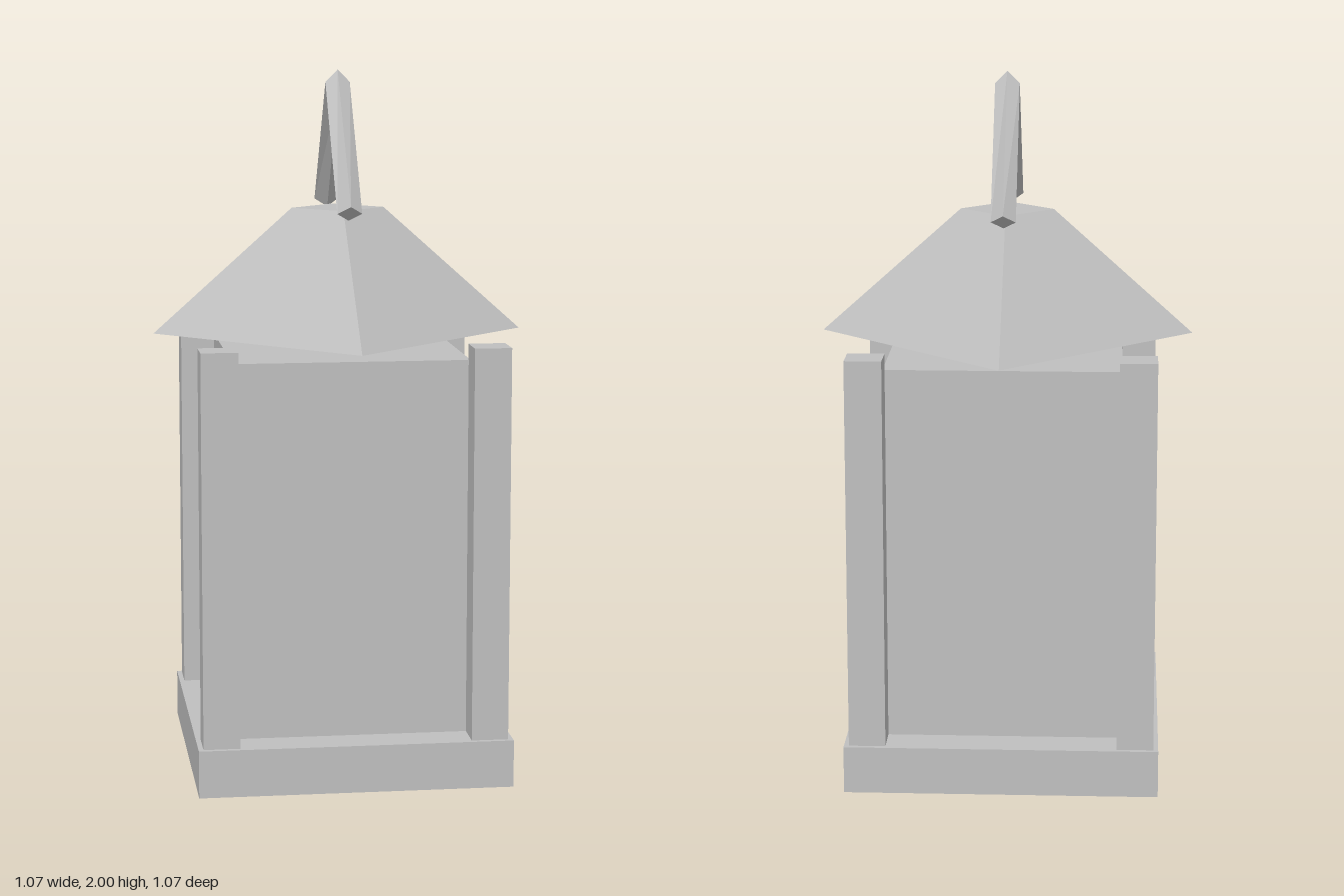
import * as THREE from 'three';

const grey = new THREE.MeshStandardMaterial({ color: 0xbfbfbf, flatShading: true });
grey.name = 'light grey';

function addPart(group, name, geometry, x = 0, y = 0, z = 0) {
  const mesh = new THREE.Mesh(geometry, grey);
  mesh.name = name;
  mesh.position.set(x, y, z);
  group.add(mesh);
}

// Square bar swept over three points, bent at the top, closed at both ends
function handleGeometry() {
  const r = 0.035;
  const stations = [ // centre y, z and outward direction y, z
    [1.611, 0.269, 0.606, 0.796],
    [1.965, 0, 1, 0],
    [1.611, -0.269, 0.606, -0.796],
  ];
  const points = [];
  for (const [y, z, ny, nz] of stations) {
    points.push(0, y + ny * r, z + nz * r, r, y, z);
    points.push(0, y - ny * r, z - nz * r, -r, y, z);
  }
  const index = [0, 3, 2, 0, 2, 1, 8, 9, 10, 8, 10, 11];
  for (let i = 0; i < 2; i++) {
    for (let j = 0; j < 4; j++) {
      const a = i * 4 + j, b = i * 4 + (j + 1) % 4;
      index.push(a, b, b + 4, a, b + 4, a + 4);
    }
  }
  const indexed = new THREE.BufferGeometry();
  indexed.setAttribute('position', new THREE.Float32BufferAttribute(points, 3));
  indexed.setIndex(index);
  const geometry = indexed.toNonIndexed();
  geometry.computeVertexNormals();
  return geometry;
}

export function createModel() {
  const lantern = new THREE.Group();
  lantern.name = 'lantern';

  // Base slab and the closed body standing on it
  addPart(lantern, 'base', new THREE.BoxGeometry(0.89, 0.135, 0.89), 0, 0.0675, 0);
  addPart(lantern, 'body', new THREE.BoxGeometry(0.666, 1.07, 0.666), 0, 0.67, 0);

  // Four corner posts
  for (const x of [-1, 1]) {
    for (const z of [-1, 1]) {
      addPart(lantern, `${z > 0 ? 'front' : 'back'}${x > 0 ? 'Left' : 'Right'}Post`,
        new THREE.BoxGeometry(0.104, 1.115, 0.104), x * 0.379, 0.6925, z * 0.379);
    }
  }

  // Truncated pyramid roof, corners pointing along the axes
  addPart(lantern, 'roof', new THREE.CylinderGeometry(0.133, 0.533, 0.357, 4), 0, 1.4285, 0);

  addPart(lantern, 'handle', handleGeometry());
  return lantern;
}
